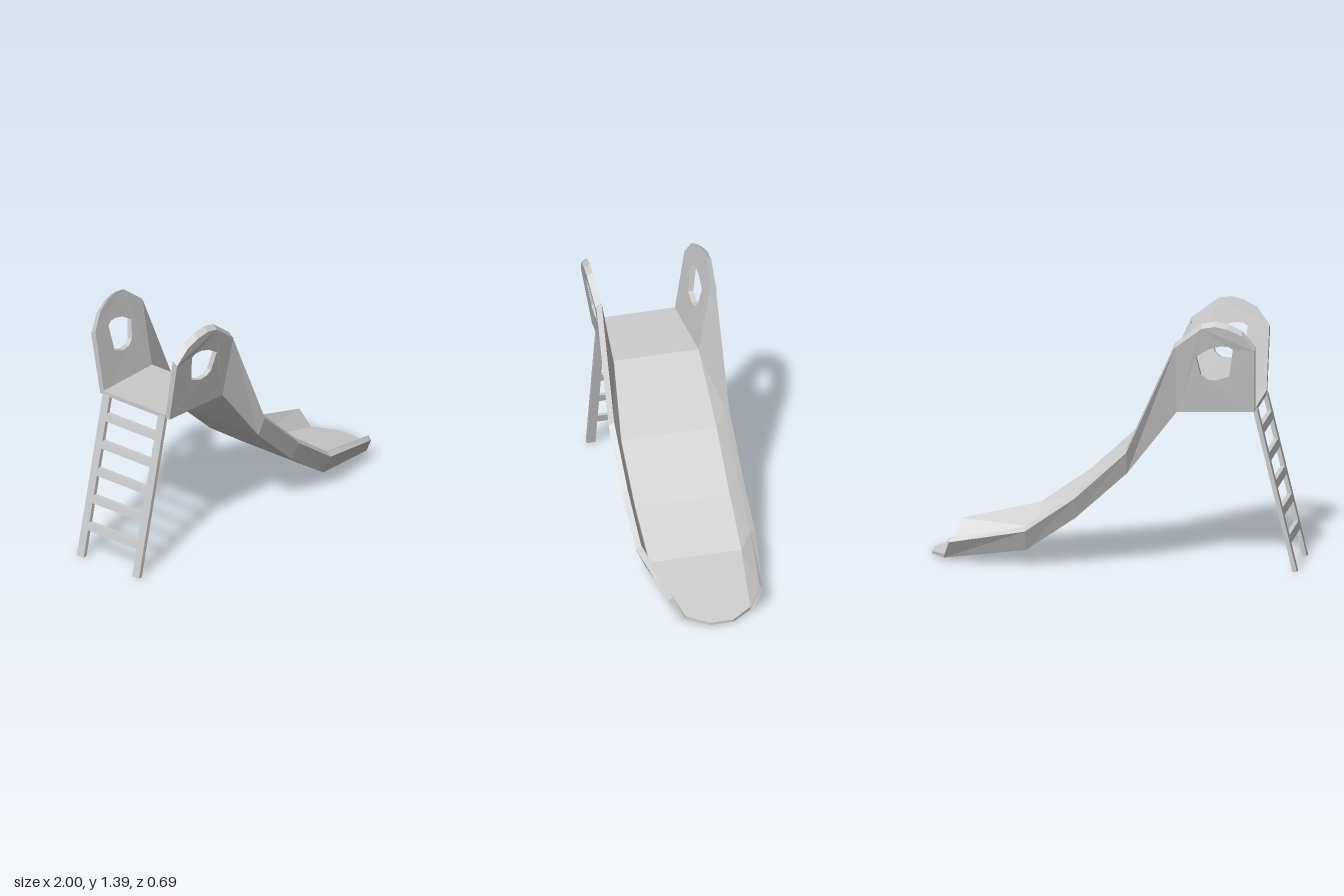
import * as THREE from 'three';

const material = new THREE.MeshStandardMaterial({ color: 0xcccccc, flatShading: true });
const FLOOR = 0.018; // floor thickness
const WALL = 0.03; // side wall thickness

function addMesh(group, geometry, name) {
  const mesh = new THREE.Mesh(geometry, material);
  mesh.name = name;
  group.add(mesh);
}

// Joins a row of four-cornered rings into a closed solid, faces outward.
function loft(rings) {
  const quads = [];
  for (let i = 0; i < rings.length - 1; i++) {
    for (let j = 0; j < 4; j++) {
      const k = (j + 1) % 4;
      quads.push([rings[i][j], rings[i][k], rings[i + 1][k], rings[i + 1][j]]);
    }
  }
  quads.push([...rings[0]].reverse(), rings[rings.length - 1]);
  const triangles = quads.flatMap(([a, b, c, d]) => [[a, b, c], [a, c, d]]);
  const v = (p) => new THREE.Vector3(...p);
  const volume = triangles.reduce((sum, [a, b, c]) => sum + v(a).dot(v(b).cross(v(c))), 0);
  if (volume < 0) triangles.forEach((t) => t.reverse());
  const geometry = new THREE.BufferGeometry();
  geometry.setAttribute('position', new THREE.Float32BufferAttribute(triangles.flat(2), 3));
  geometry.computeVertexNormals();
  return geometry;
}

// Chute stations: floor x, floor y, floor half width, wall top x, wall top y, wall top half width
const stations = [
  [-0.355, 0.89, 0.235, -0.355, 1.265, 0.303],
  [-0.09, 0.55, 0.265, -0.09, 0.675, 0.305],
  [0.19, 0.295, 0.262, 0.19, 0.415, 0.305],
  [0.46, 0.107, 0.255, 0.46, 0.225, 0.303],
  [0.92, 0.032, 0.18, 0.88, 0.137, 0.242],
];

function floorRing(x, y, w, thickness = FLOOR) {
  return [[x, y, w], [x, y, -w], [x, y - thickness, -w], [x, y - thickness, w]];
}

function chuteWall(side) {
  return loft(stations.map(([x, y, w, tx, ty, tw], i) => {
    const thick = i === stations.length - 1 ? 0.02 : WALL;
    return [
      [x, y - FLOOR, side * w],
      [tx, ty, side * tw],
      [tx, ty - 0.023, side * (tw + thick)],
      [x, y - FLOOR, side * (w + thick * 0.8)],
    ];
  }));
}

// Arched guard panel with a window, leaning outward
function guardPanel(side) {
  const points = (list) => list.map(([x, y]) => new THREE.Vector2(x, y));
  const shape = new THREE.Shape(points([
    [-0.775, 0.88], [-0.355, 0.872], [-0.355, 1.265], [-0.5, 1.375], [-0.57, 1.387],
    [-0.64, 1.372], [-0.715, 1.335], [-0.782, 1.248],
  ]));
  shape.holes.push(new THREE.Path(points([
    [-0.665, 1.232], [-0.64, 1.25], [-0.595, 1.25], [-0.54, 1.235], [-0.466, 1.19],
    [-0.488, 1.085], [-0.52, 1.06], [-0.57, 1.055], [-0.642, 1.08],
  ])));
  const geometry = new THREE.ExtrudeGeometry(shape, { depth: 1, bevelEnabled: false });
  const pos = geometry.attributes.position;
  for (let i = 0; i < pos.count; i++) {
    const x = pos.getX(i), y = pos.getY(i), z = pos.getZ(i);
    const outer = side > 0 ? z : 1 - z;
    const t = (x + 0.78) / 0.425;
    const inner = 0.215 + 0.02 * t + (0.16 + 0.03 * t) * (y - 0.89);
    const topEdge = y > 1.2 && (y > 1.27 || Math.abs(x + 0.5675) > 0.2);
    pos.setY(i, topEdge ? y - 0.024 * outer : y);
    pos.setZ(i, side * (inner + WALL * outer));
  }
  geometry.computeVertexNormals();
  return geometry;
}

// Slanted ladder piece between two heights
function ladderPiece(y0, y1, z0, z1) {
  return loft([y0, y1].map((y) => {
    const x = -1 + 0.243 * y;
    return [[x, y, z0], [x + 0.024, y, z0], [x + 0.024, y, z1], [x, y, z1]];
  }));
}

export function createModel() {
  const group = new THREE.Group();
  group.name = 'slide';

  // Platform, sliding surface and narrowing tip
  addMesh(group, loft([floorRing(-0.78, 0.903, 0.217, 0.023), floorRing(-0.355, 0.89, 0.235)]), 'platform');
  addMesh(group, loft([
    ...stations.map(([x, y, w]) => floorRing(x, y, w)),
    floorRing(1, 0.018, 0.065, 0.013),
  ]), 'slideFloor');

  // Sides and ladder rails, mirrored
  for (const side of [1, -1]) {
    const label = side > 0 ? 'left' : 'right';
    addMesh(group, guardPanel(side), label + 'GuardPanel');
    addMesh(group, chuteWall(side), label + 'SlideWall');
    addMesh(group, ladderPiece(0, 0.888, side * 0.17, side * 0.218), label + 'LadderRail');
  }

  // Ladder rungs
  for (let i = 0; i < 5; i++) {
    const y = 0.15 + i * 0.15;
    addMesh(group, ladderPiece(y, y + 0.042, -0.172, 0.172), 'ladderRung' + (i + 1));
  }
  return group;
}
